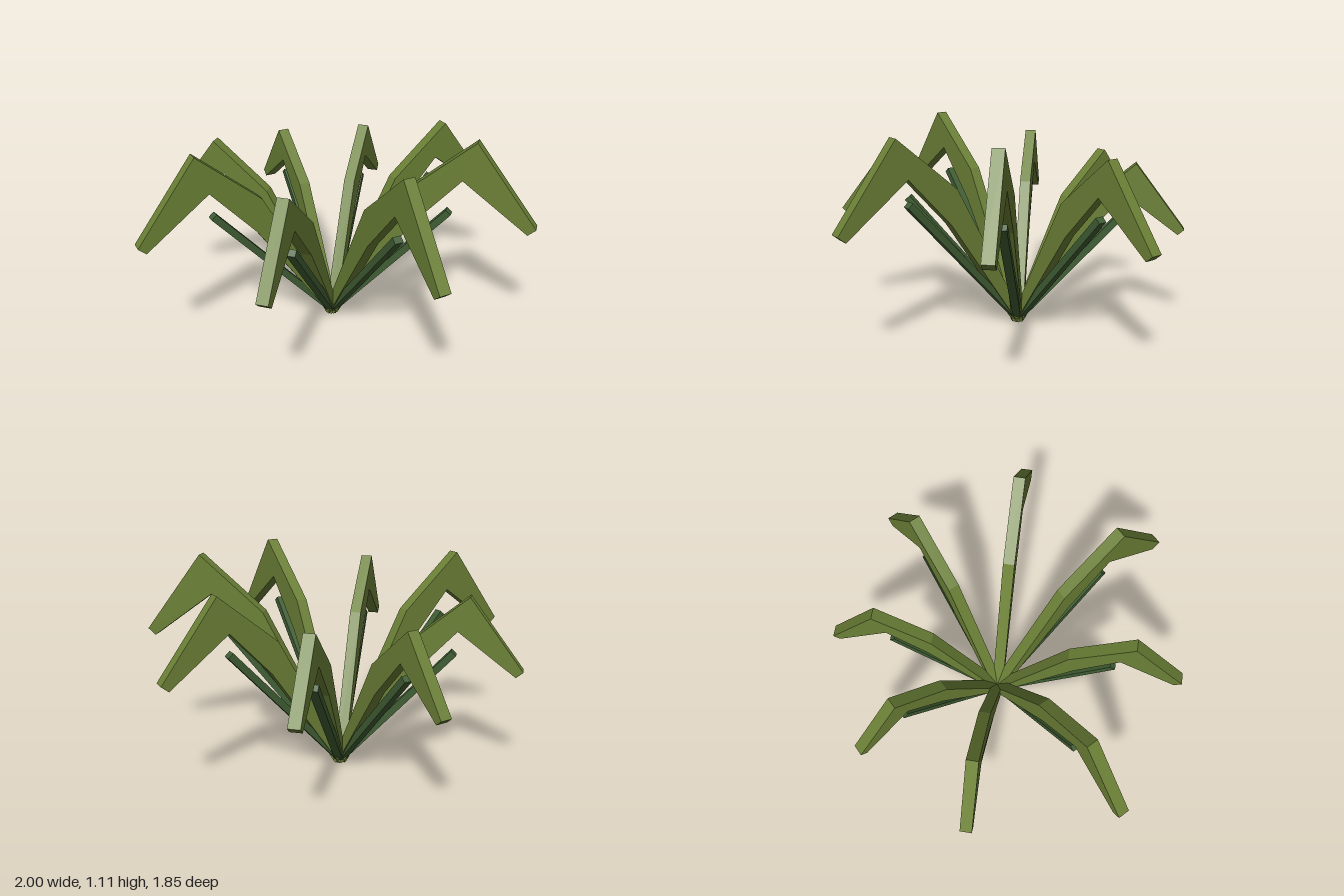
import * as THREE from 'three';

export function createModel() {
  const model = new THREE.Group();
  model.name = 'plant';

  const leafGreen = new THREE.MeshStandardMaterial({ color: 0x6b8036 });
  leafGreen.name = 'leafGreen';
  const stalkGreen = new THREE.MeshStandardMaterial({ color: 0x3f5d33 });
  stalkGreen.name = 'stalkGreen';

  // Side profile of a drooping leaf: x runs outward, y up
  const profile = new THREE.Shape([
    [-0.015, 0.025], [0.02, 0], [0.45, 0.64], [0.69, 0.905],
    [1.03, 0.655], [1.07, 0.69], [0.75, 1.11], [0.41, 0.82],
  ].map(([x, y]) => new THREE.Vector2(x, y)));
  const leafGeometry = new THREE.ExtrudeGeometry(profile, { depth: 0.06, bevelEnabled: false });
  leafGeometry.translate(0, 0, -0.03);

  // Square stalk, one unit long, standing on its lower end
  const stalkGeometry = new THREE.BoxGeometry(0.036, 1, 0.045);
  stalkGeometry.translate(0, 0.5, 0);

  // Leaf size and stalk height, going round from +x towards +z
  const fronds = [
    [1, 0.72], [0.995, 0.77], [0.905, 0.69], [0.975, 0.75],
    [0.87, 0.67], [0.81, 0.66], [0.82, 0.63], [0.92, 0.72],
  ];
  const lean = Math.atan(0.89);

  fronds.forEach(([size, height], i) => {
    const frond = new THREE.Group();
    frond.name = 'frond' + (i + 1);
    frond.rotation.y = -i * Math.PI / 4;

    const leaf = new THREE.Mesh(leafGeometry, leafGreen);
    leaf.name = 'leaf';
    leaf.scale.set(size, size, 1);

    const stalk = new THREE.Mesh(stalkGeometry, stalkGreen);
    stalk.name = 'stalk';
    stalk.position.y = 0.013;
    stalk.rotation.z = -lean;
    stalk.scale.y = (height - 0.013) / Math.cos(lean);

    frond.add(leaf, stalk);
    frond.position.set(-0.07, 0, -0.05);
    model.add(frond);
  });

  return model;
}
